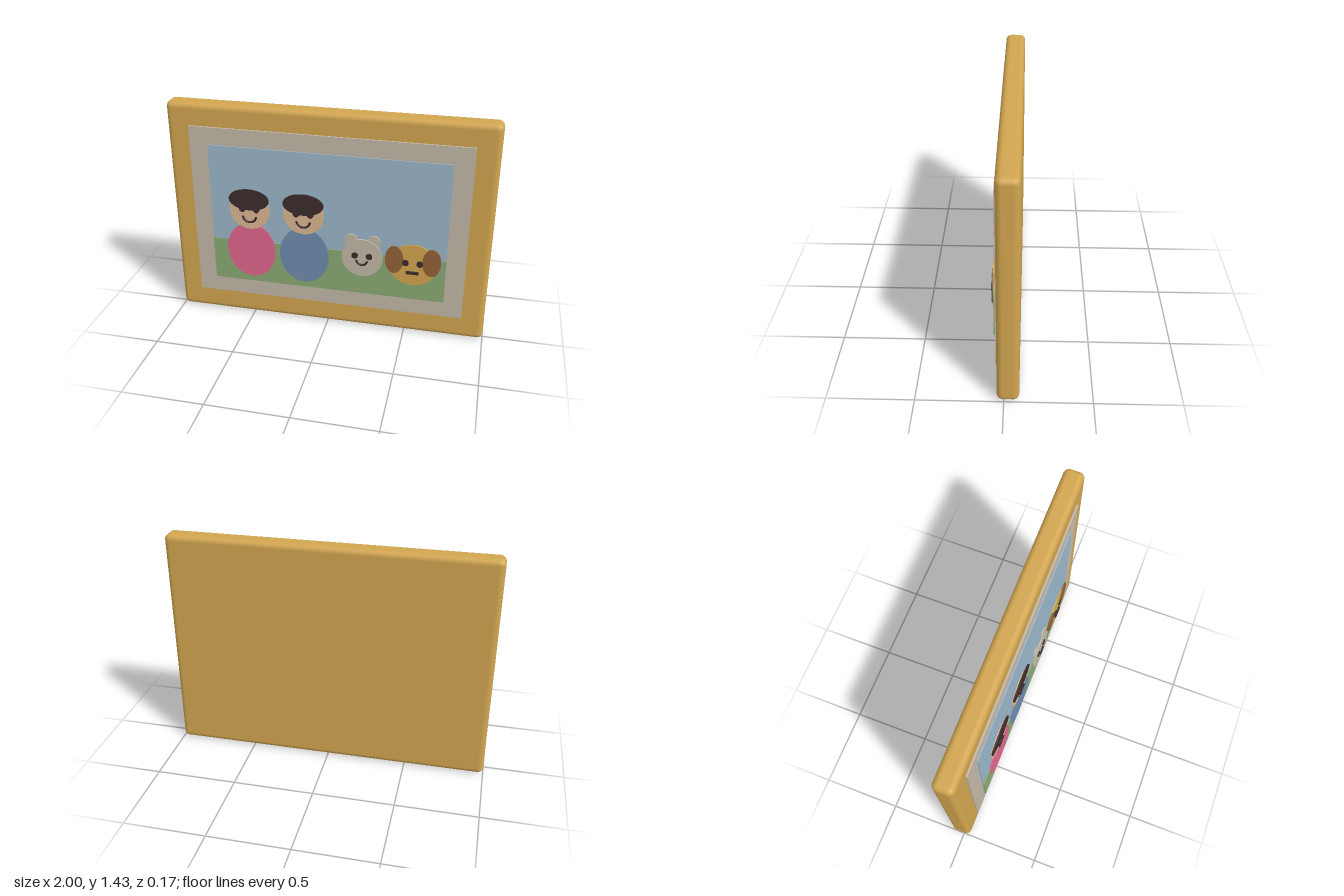
import * as THREE from 'three';
import { RoundedBoxGeometry } from 'three/addons/geometries/RoundedBoxGeometry.js';

const material = (name, color) => {
  const m = new THREE.MeshStandardMaterial({ color });
  m.name = name;
  return m;
};

export function createModel() {
  const gold = material('gold', 0xd1a550);
  const cream = material('cream', 0xc4b8a8);
  const sky = material('sky blue', 0x9ab6c9);
  const green = material('grass green', 0x8aaa74);
  const skin = material('skin', 0xdcb591);
  const pink = material('pink', 0xe0678c);
  const blue = material('blue', 0x6f8bad);
  const dark = material('dark brown', 0x3c2c2c);
  const brown = material('ear brown', 0x936237);

  const model = new THREE.Group();
  model.name = 'framedPicture';

  const add = (parent, name, geometry, mat, x, y, z) => {
    const mesh = new THREE.Mesh(geometry, mat);
    mesh.name = name;
    mesh.position.set(x, y, z);
    parent.add(mesh);
    return mesh;
  };

  // Rectangular plate between depths z0 and z1
  const plate = (parent, name, mat, x, y, w, h, z0, z1) =>
    add(parent, name, new THREE.BoxGeometry(w, h, z1 - z0), mat, x, y, (z0 + z1) / 2);

  // Thin elliptical disc between depths z0 and z1
  const disc = (parent, name, mat, x, y, rx, ry, z0, z1) => {
    const g = new THREE.CylinderGeometry(1, 1, z1 - z0, 40).rotateX(Math.PI / 2).scale(rx, ry, 1);
    return add(parent, name, g, mat, x, y, (z0 + z1) / 2);
  };

  // Smile: lower half of a slim ring
  const smile = (parent, x, y, r) =>
    add(parent, 'smile', new THREE.TorusGeometry(r, 0.007, 8, 24, Math.PI).rotateZ(Math.PI),
      dark, x, y, 0.079);

  const eyes = (parent, x, y, gap) => {
    for (const s of [-1, 1]) disc(parent, 'eye', dark, x + s * gap, y, 0.02, 0.02, 0.074, 0.082);
  };

  const figure = (name) => {
    const g = new THREE.Group();
    g.name = name;
    model.add(g);
    return g;
  };

  // Frame, mount and painted background
  add(model, 'frame', new RoundedBoxGeometry(2, 1.43, 0.127, 5, 0.035), gold, 0, 0.715, -0.0225);
  plate(model, 'mount', cream, 0, 0.72, 1.72, 1.14, 0.04, 0.052);
  plate(model, 'sky', sky, 0, 0.72, 1.485, 0.92, 0.05, 0.059);
  plate(model, 'grass', green, 0, 0.405, 1.485, 0.29, 0.057, 0.065);

  // Two people
  for (const [name, x, shirt] of [['personInPink', -0.49, pink], ['personInBlue', -0.145, blue]]) {
    const g = figure(name);
    disc(g, 'body', shirt, x, 0.49, 0.158, 0.19, 0.061, 0.07);
    disc(g, 'head', skin, x, 0.772, 0.128, 0.128, 0.066, 0.075);
    disc(g, 'hair', dark, x, 0.846, 0.128, 0.07, 0.074, 0.083);
    eyes(g, x, 0.78, 0.045);
    smile(g, x, 0.736, 0.043);
  }

  // Bear
  const bear = figure('bear');
  for (const s of [-1, 1]) disc(bear, 'ear', cream, 0.225 + s * 0.071, 0.633, 0.042, 0.042, 0.06, 0.069);
  disc(bear, 'head', cream, 0.225, 0.52, 0.128, 0.128, 0.066, 0.075);
  eyes(bear, 0.225, 0.535, 0.045);
  smile(bear, 0.225, 0.507, 0.034);

  // Dog
  const dog = figure('dog');
  disc(dog, 'head', gold, 0.54, 0.505, 0.15, 0.139, 0.064, 0.073);
  for (const s of [-1, 1]) disc(dog, 'ear', brown, 0.54 + s * 0.115, 0.533, 0.057, 0.093, 0.067, 0.076);
  eyes(dog, 0.54, 0.52, 0.044);
  plate(dog, 'mouth', dark, 0.54, 0.455, 0.08, 0.016, 0.072, 0.086);

  return model;
}
